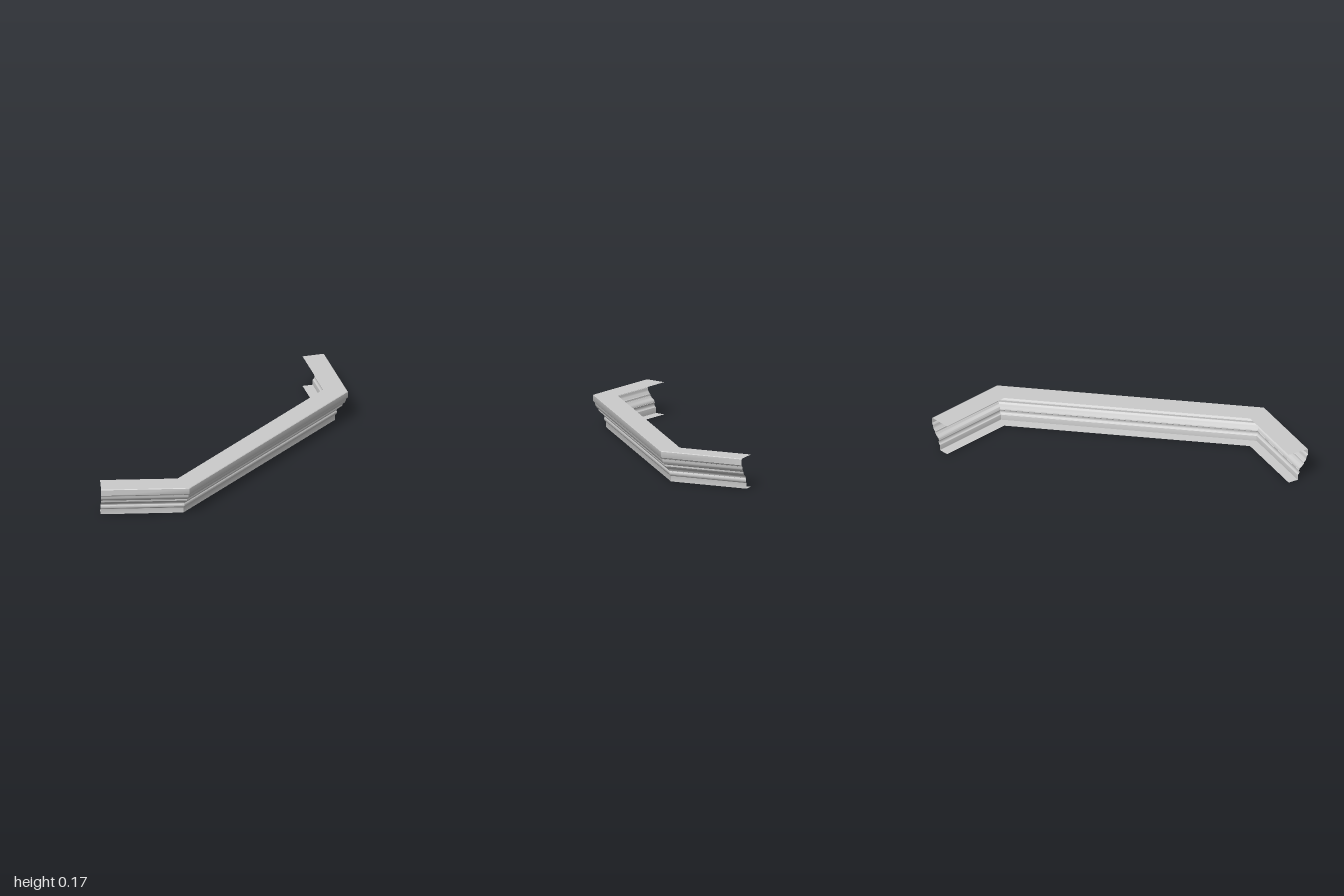
import * as THREE from 'three';
import { toCreasedNormals } from 'three/addons/utils/BufferGeometryUtils.js';

// Cross-section of the moulding (x = position on the long run, y = height)
function mouldingProfile() {
  const p = new THREE.Path();
  p.moveTo(0.1, 0);                                   // open back, bottom flange
  p.lineTo(0.155, 0);
  p.lineTo(0.155, 0.027);                             // lower fascia
  p.quadraticCurveTo(0.155, 0.032, 0.158, 0.033);
  p.bezierCurveTo(0.167, 0.034, 0.167, 0.056, 0.161, 0.057); // bead
  p.lineTo(0.164, 0.058);
  p.quadraticCurveTo(0.165, 0.067, 0.174, 0.073);     // cove
  p.quadraticCurveTo(0.187, 0.081, 0.19, 0.088);
  p.lineTo(0.192, 0.088);                             // fillet
  p.lineTo(0.192, 0.097);
  p.quadraticCurveTo(0.208, 0.107, 0.209, 0.129);     // upper cove
  p.lineTo(0.211, 0.13);
  p.quadraticCurveTo(0.213, 0.137, 0.218, 0.138);
  p.lineTo(0.218, 0.17);                              // upper fascia
  p.lineTo(0.215, 0.173);
  p.lineTo(0.1, 0.173);                               // top flange back to the open rear
  return p.getPoints(6);
}

// Sweep a profile along a flat path with mitred corners and square ends
function sweepMitred(profile, path, outerX) {
  const normals = path.slice(1).map((b, i) => {
    const d = b.clone().sub(path[i]).normalize();
    return new THREE.Vector2(-d.y, d.x);              // points away from the room side
  });
  const offsets = path.map((_, i) => {
    const a = normals[Math.max(i - 1, 0)];
    const b = normals[Math.min(i, normals.length - 1)];
    const m = a.clone().add(b);
    return m.multiplyScalar(2 / m.lengthSq());        // mitre vector per unit of depth
  });
  const positions = [], index = [], n = profile.length;
  path.forEach((c, i) => profile.forEach(({ x, y }) => {
    const depth = x - outerX;
    positions.push(c.x + offsets[i].x * depth, y, c.y + offsets[i].y * depth);
  }));
  for (let i = 0; i < path.length - 1; i++) {
    for (let j = 0; j < n - 1; j++) {
      const a = i * n + j, b = a + n;
      index.push(a, b, b + 1, a, b + 1, a + 1);
    }
  }
  const geometry = new THREE.BufferGeometry();
  geometry.setAttribute('position', new THREE.Float32BufferAttribute(positions, 3));
  geometry.setIndex(index);
  return toCreasedNormals(geometry, 0.6);
}

export function createModel() {
  const group = new THREE.Group();
  group.name = 'corniceMoulding';

  // Outer top edge: long straight run with an angled return at each end
  const path = [[-0.146, 1], [0.218, 0.71], [0.218, -0.71], [-0.146, -1]]
    .map(([x, z]) => new THREE.Vector2(x, z));

  const material = new THREE.MeshStandardMaterial({ color: 0xcccccc, side: THREE.DoubleSide });
  const cornice = new THREE.Mesh(sweepMitred(mouldingProfile(), path, 0.218), material);
  cornice.name = 'cornice';
  group.add(cornice);
  return group;
}
